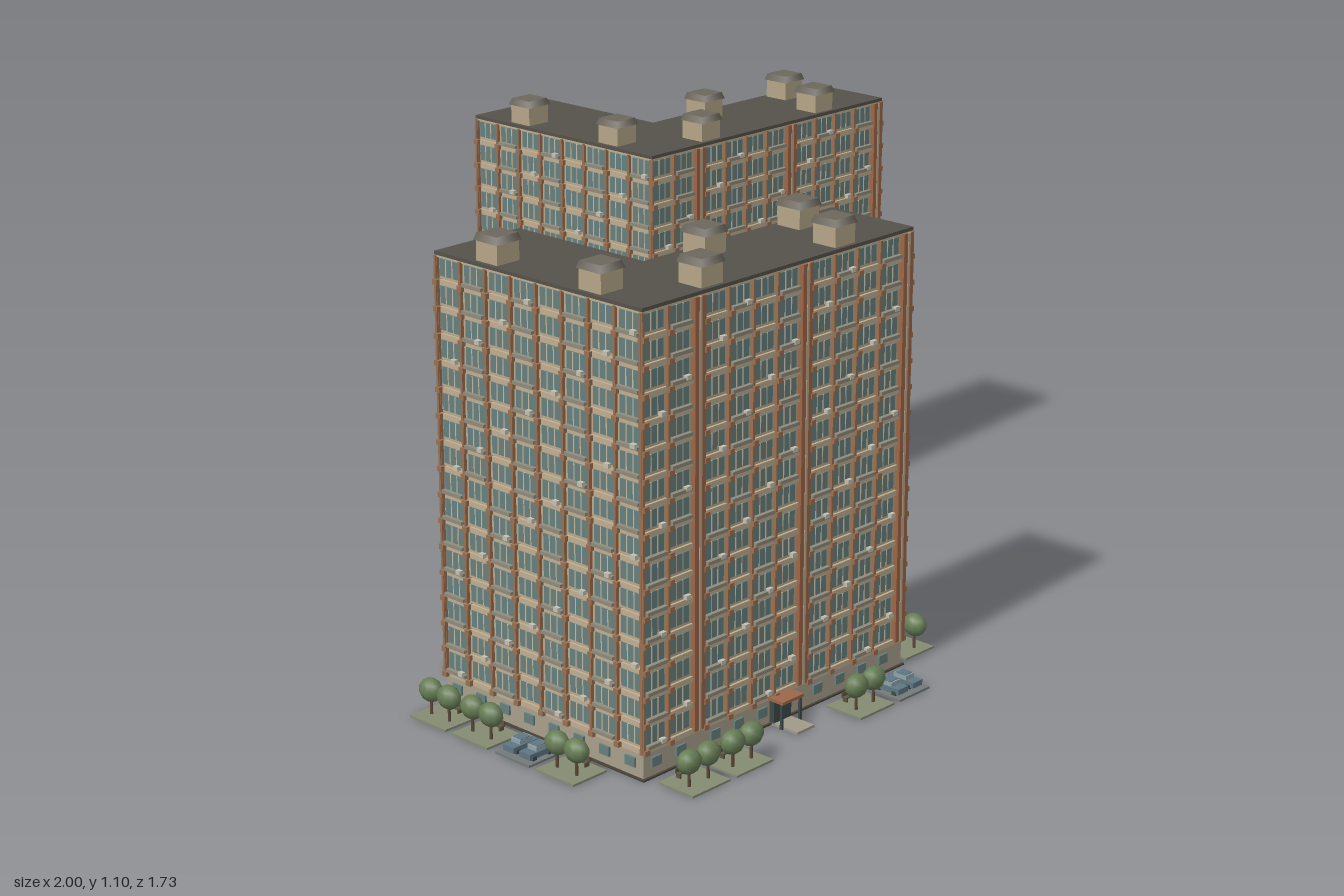
import * as THREE from 'three';
import { mergeGeometries } from 'three/addons/utils/BufferGeometryUtils.js';

const COLORS = {
  wall: 0xb9a88a, baseWall: 0xa8a08c, floorBands: 0xbfae90, pilasters: 0x9a7052, brownShafts: 0x9c6749,
  windows: 0x66807f, windowFrames: 0xc2b8a0, balconyRails: 0x8f8b7c, airConditioners: 0xc4bfb0,
  roof: 0x55524a, roofHuts: 0xb5a688, roofHutCaps: 0x6c675c, entrance: 0x3d4a48, canopy: 0x9c6749,
  steps: 0xa09a88, underside: 0x4a4338, lawns: 0x858c72, parking: 0x737a78, benches: 0x5e5544,
  trunks: 0x5b4a38, crowns: 0x677d55, cars: 0x5f7683, carCabins: 0x8fa3ab,
};
const X0 = -0.88, X1 = -0.036, XN = -0.636;   // outer x limits and inner corner of the L
const Z0 = 0.115, Z1 = 0.725, ZN = 0.493;     // outer z limits and inner corner of the L
const BASE = 0.065, FLOORS = 16, STEP = 0.0602, TOP = 1.035;
const SHAFT = 0.032;

function frame(x, z, turn) {
  return new THREE.Matrix4().makeRotationY(turn).setPosition(x, 0, z);
}

function buildBlock() {
  const bins = {};
  const put = (part, geometry, m) => {
    const g = geometry.index ? geometry.toNonIndexed() : geometry;
    if (m) g.applyMatrix4(m);
    (bins[part] ??= []).push(g);
  };
  const box = (part, w, h, d, x, y, z, m) =>
    put(part, new THREE.BoxGeometry(w, h, d).translate(x, y, z), m);

  // L-shaped storeys extruded upward
  const slab = (part, y, h, grow) => {
    const a = grow, s = new THREE.Shape();
    [[X0 - a, Z0 - a], [XN + a, Z0 - a], [XN + a, ZN - a], [X1 + a, ZN - a], [X1 + a, Z1 + a], [X0 - a, Z1 + a]]
      .forEach(([x, z], i) => (i ? s.lineTo(x, -z) : s.moveTo(x, -z)));
    const g = new THREE.ExtrudeGeometry(s, { depth: h, bevelEnabled: false });
    put(part, g.rotateX(-Math.PI / 2).translate(0, y, 0));
  };
  slab('underside', 0, 0.004, 0.004);
  slab('baseWall', 0.004, BASE - 0.004, -0.002);
  slab('wall', BASE, TOP - BASE - 0.008, -0.006);
  for (let f = 0; f <= FLOORS; f++) slab('floorBands', BASE + f * STEP - 0.006, 0.012, 0);
  slab('roof', TOP - 0.008, 0.008, 0.002);

  // One facade: w = window bay, s = brown shaft, b = plain wall shaft
  const facade = (x, z, turn, length, layout) => {
    const m = frame(x, z, turn);
    const bays = [...layout].filter((c) => c === 'w').length;
    const bay = (length - (layout.length - bays) * SHAFT) / bays;
    const height = TOP - BASE - 0.01, mid = BASE + height / 2;
    let u = -length / 2, n = 0;
    for (const c of layout) {
      if (c !== 'w') {
        box(c === 's' ? 'brownShafts' : 'wall', SHAFT, height, 0.012, u + SHAFT / 2, mid, 0, m);
        if (c === 's') box('wall', 0.007, height, 0.015, u + SHAFT / 2, mid, 0, m);
        u += SHAFT;
        continue;
      }
      const cx = u + bay / 2, w = bay * 0.76;
      box('pilasters', 0.006, height, 0.008, u, mid, 0, m);
      box('windows', w * 0.5, 0.022, 0.006, cx, 0.036, 0, m);
      for (let f = 0; f < FLOORS; f++) {
        const y = BASE + f * STEP + STEP / 2;
        box('windows', w, 0.038, 0.008, cx, y + 0.002, -0.007, m);
        box('windowFrames', 0.003, 0.038, 0.01, cx - w * 0.17, y + 0.002, -0.007, m);
        box('windowFrames', 0.003, 0.038, 0.01, cx + w * 0.17, y + 0.002, -0.007, m);
        if ((n + (f >> 3)) % 2 === 0) box('balconyRails', bay * 0.8, 0.008, 0.012, cx, y - 0.021, 0.001, m);
        if ((n * 3 + f) % 4 === 0) box('airConditioners', 0.014, 0.01, 0.01, cx + w * 0.3, y - 0.017, 0.004, m);
        box('pilasters', 0.014, 0.012, 0.018, u + 0.004, y - STEP / 2, 0, m);
      }
      u += bay;
      n++;
    }
    box('pilasters', 0.006, height, 0.008, length / 2 - 0.003, mid, 0, m);
  };
  const q = Math.PI / 2;
  facade((X0 + X1) / 2, Z1, 0, X1 - X0, 'wwswwwwswwwws');
  facade(X1, (ZN + Z1) / 2, q, Z1 - ZN, 'www');
  facade((XN + X1) / 2, ZN, 2 * q, X1 - XN, 'wbwwwwbww');
  facade(XN, (Z0 + ZN) / 2, q, ZN - Z0, 'wwwww');
  facade((X0 + XN) / 2, Z0, 2 * q, XN - X0, 'www');
  facade(X0, (Z0 + Z1) / 2, -q, Z1 - Z0, 'wwwwwwww');

  // Roof huts with flared caps
  for (const [x, z] of [[-0.84, 0.265], [-0.84, 0.57], [-0.666, 0.685], [-0.495, 0.535], [-0.25, 0.685], [-0.195, 0.535]]) {
    box('roofHuts', 0.064, 0.05, 0.064, x, TOP + 0.022, z);
    put('roofHutCaps', new THREE.CylinderGeometry(0.043, 0.051, 0.016, 4)
      .rotateY(Math.PI / 4).translate(x, TOP + 0.053, z));
  }

  // Front entrance
  const ex = -0.457;
  box('entrance', 0.056, 0.054, 0.016, ex, 0.03, Z1 + 0.004);
  box('canopy', 0.07, 0.007, 0.046, ex, 0.063, Z1 + 0.02);
  for (const s of [-1, 1]) box('entrance', 0.006, 0.06, 0.006, ex + s * 0.03, 0.03, Z1 + 0.036);
  box('steps', 0.056, 0.006, 0.08, ex, 0.003, Z1 + 0.04);

  // Lawn with a bench and two trees; local +z points away from the wall
  const lawn = (x, z, turn) => {
    const m = frame(x, z, turn);
    box('lawns', 0.114, 0.005, 0.1, 0, 0.0025, 0, m);
    box('benches', 0.036, 0.003, 0.012, 0, 0.015, -0.032, m);
    box('benches', 0.036, 0.012, 0.003, 0, 0.02, -0.038, m);
    for (const s of [-1, 1]) {
      box('benches', 0.004, 0.012, 0.012, s * 0.014, 0.008, -0.032, m);
      put('trunks', new THREE.CylinderGeometry(0.003, 0.004, 0.045, 6).translate(s * 0.029, 0.025, 0.012), m);
      put('crowns', new THREE.SphereGeometry(1, 10, 7).scale(0.031, 0.027, 0.024)
        .translate(s * 0.029, 0.062, 0.012), m);
    }
  };
  // Parking plot with two cars
  const parking = (x, z, turn) => {
    const m = frame(x, z, turn);
    box('parking', 0.104, 0.005, 0.1, 0, 0.0025, 0, m);
    for (const s of [-1, 1]) {
      box('cars', 0.033, 0.013, 0.074, s * 0.025, 0.015, 0, m);
      box('carCabins', 0.028, 0.01, 0.036, s * 0.025, 0.0265, -0.003, m);
      box('cars', 0.026, 0.002, 0.028, s * 0.025, 0.032, -0.003, m);
      for (const e of [-1, 1]) box('entrance', 0.035, 0.01, 0.011, s * 0.025, 0.009, e * 0.023, m);
    }
  };
  lawn(-0.714, 0.03, 2 * q);
  for (const z of [0.185, 0.318, 0.58]) lawn(-0.95, z, -q);
  parking(-0.95, 0.452, -q);
  for (const x of [-0.81, -0.676, -0.275]) lawn(x, 0.805, 0);
  parking(-0.147, 0.805, 0);
  lawn(0.04, 0.66, q);
  parking(-0.57, 0.163, q);
  lawn(-0.57, 0.302, q);
  for (const x of [-0.505, -0.238, -0.11]) lawn(x, 0.415, 2 * q);
  parking(-0.37, 0.415, 2 * q);

  const group = new THREE.Group();
  for (const [part, list] of Object.entries(bins)) {
    const mesh = new THREE.Mesh(mergeGeometries(list), new THREE.MeshStandardMaterial({ color: COLORS[part] }));
    mesh.name = part;
    group.add(mesh);
  }
  return group;
}

export function createModel() {
  const model = new THREE.Group();
  model.name = 'apartmentBlocks';
  const front = buildBlock();
  front.name = 'frontBlock';
  const back = front.clone();
  back.name = 'backBlock';
  back.position.set(0.908, 0, -0.85);
  model.add(front, back);
  return model;
}
